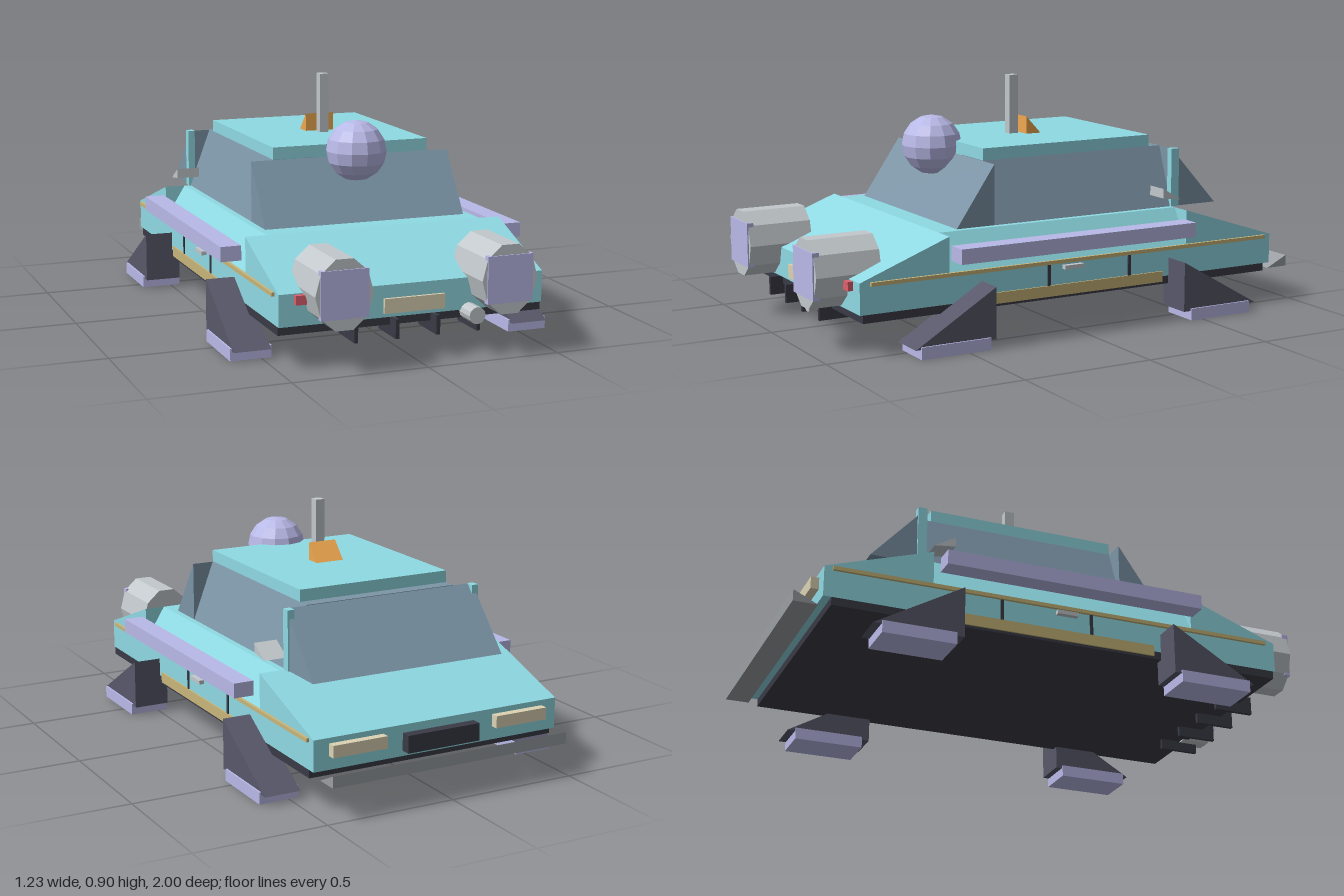
import * as THREE from 'three';

const COLORS = {
  teal: 0x8fdae4, glass: 0x7c95a6, lilac: 0xb9b9e8, leg: 0x58586a, dark: 0x3a3a46,
  tan: 0xc8b67a, cream: 0xdcd3b4, grey: 0xc2c8cc, red: 0xe0606c, orange: 0xf0a850, steel: 0x9a9fa3,
};
const materials = {};
for (const key in COLORS) {
  materials[key] = new THREE.MeshStandardMaterial({ color: COLORS[key], flatShading: true });
}

export function createModel() {
  const model = new THREE.Group();
  model.name = 'hoverCar';

  const add = (name, geometry, color) => {
    const mesh = new THREE.Mesh(geometry, materials[color]);
    mesh.name = name;
    model.add(mesh);
    return mesh;
  };

  // box given by its extents on each axis
  const box = (name, color, [x0, x1], [y0, y1], [z0, z1]) => {
    const g = new THREE.BoxGeometry(x1 - x0, y1 - y0, z1 - z0);
    g.translate((x0 + x1) / 2, (y0 + y1) / 2, (z0 + z1) / 2);
    return add(name, g, color);
  };

  const extrude = (points, depth) => new THREE.ExtrudeGeometry(
    new THREE.Shape(points.map(([a, b]) => new THREE.Vector2(a, b))),
    { depth, bevelEnabled: false });

  // side profile in (z, y), carried across x
  const sideProfile = (name, color, points, [x0, x1]) => {
    const g = extrude(points, x1 - x0);
    g.rotateY(-Math.PI / 2);
    g.translate(x1, 0, 0);
    return add(name, g, color);
  };

  // front profile in (x, y), carried along z
  const frontProfile = (name, color, points, [z0, z1]) => {
    const g = extrude(points, z1 - z0);
    g.translate(0, 0, z0);
    return add(name, g, color);
  };

  // extents mirrored to the side s
  const span = (s, a, b) => (s > 0 ? [a, b] : [-b, -a]);

  // Body: lower hull, sloped ends and tapered shoulders
  box('underbody', 'dark', [-0.5, 0.5], [0.125, 0.155], [-0.87, 0.86]);
  box('lowerBody', 'teal', [-0.5, 0.5], [0.155, 0.27], [-0.9, 0.87]);
  sideProfile('frontDeck', 'teal', [[0.52, 0.27], [0.87, 0.27], [0.52, 0.4]], [-0.5, 0.5]);
  sideProfile('rearDeck', 'teal', [[-0.9, 0.27], [-0.5, 0.27], [-0.5, 0.4]], [-0.5, 0.5]);
  frontProfile('shoulders', 'teal',
    [[-0.5, 0.27], [0.5, 0.27], [0.42, 0.4], [-0.42, 0.4]], [-0.5, 0.52]);

  // Cabin
  frontProfile('cabinGlass', 'glass',
    [[-0.395, 0.4], [0.395, 0.4], [0.31, 0.627], [-0.31, 0.627]], [-0.5, 0.28]);
  sideProfile('frontScreen', 'glass', [[0.28, 0.4], [0.435, 0.4], [0.28, 0.625]], [-0.395, 0.395]);
  sideProfile('rearScreen', 'glass', [[-0.705, 0.4], [-0.5, 0.4], [-0.5, 0.625]], [-0.395, 0.395]);
  box('roof', 'teal', [-0.31, 0.31], [0.625, 0.672], [-0.45, 0.28]);

  // Roof fittings
  box('antenna', 'grey', [-0.018, 0.018], [0.67, 0.9], [-0.035, 0.003]);
  sideProfile('roofBeacon', 'orange', [[-0.115, 0.67], [-0.05, 0.67], [-0.05, 0.74]], [-0.057, 0.057]);
  add('sensorBall', new THREE.SphereGeometry(0.114, 12, 8), 'lilac').position.set(0, 0.652, 0.333);

  for (const s of [1, -1]) {
    // Thrusters with square front plates
    const g = new THREE.CylinderGeometry(1, 1, 0.25, 10);
    g.rotateX(Math.PI / 2);
    g.rotateZ(Math.PI / 2);
    // vertices lie at the far left and right of the section
    const turn = Math.abs(g.attributes.position.getX(0)) > 0.99 ? 0 : Math.PI / 2;
    g.rotateZ(turn);
    g.scale(0.106, 0.13, 1);
    add('thruster', g, 'grey').position.set(s * 0.309, 0.283, 0.87);
    box('thrusterPlate', 'lilac', span(s, 0.222, 0.396), [0.2, 0.37], [0.975, 1]);

    // Lamps
    box('frontLamp', 'red', span(s, 0.405, 0.445), [0.233, 0.266], [0.86, 0.89]);
    box('rearLamp', 'cream', span(s, 0.225, 0.44), [0.205, 0.25], [-0.93, -0.89]);

    // Side pods, trim and doors
    box('sidePod', 'lilac', span(s, 0.515, 0.592), [0.315, 0.37], [-0.48, 0.52]);
    box('trimStrip', 'tan', span(s, 0.495, 0.511), [0.256, 0.27], [-0.87, 0.83]);
    box('sill', 'tan', span(s, 0.49, 0.506), [0.135, 0.176], [-0.39, 0.36]);
    for (const z of [0.11, -0.24]) {
      box('doorSeam', 'dark', span(s, 0.495, 0.504), [0.176, 0.256], [z - 0.006, z + 0.006]);
    }
    box('doorHandle', 'grey', span(s, 0.5, 0.52), [0.233, 0.248], [-0.03, 0.052]);

    // Cabin post and mirror
    box('rearPost', 'teal', span(s, 0.375, 0.402), [0.4, 0.625], [-0.53, -0.495]);
    sideProfile('mirror', 'grey', [[-0.49, 0.44], [-0.41, 0.45], [-0.41, 0.487]], span(s, 0.385, 0.475));

    // Wedge legs on flat feet
    sideProfile('frontLeg', 'leg', [[0.39, 0.035], [0.71, 0.035], [0.39, 0.225]], span(s, 0.47, 0.608));
    sideProfile('rearLeg', 'leg', [[-0.75, 0.035], [-0.42, 0.035], [-0.42, 0.225]], span(s, 0.47, 0.608));
    box('frontFoot', 'lilac', span(s, 0.463, 0.615), [0, 0.045], [0.415, 0.69]);
    box('rearFoot', 'lilac', span(s, 0.463, 0.615), [0, 0.045], [-0.72, -0.45]);
  }

  // Front details
  box('frontPlate', 'cream', [-0.115, 0.115], [0.17, 0.223], [0.865, 0.882]);
  for (const x of [-0.232, -0.078, 0.077, 0.231]) {
    box('frontFin', 'dark', [x - 0.007, x + 0.007], [0.085, 0.155], [0.755, 0.91]);
  }
  const pipe = new THREE.CylinderGeometry(0.031, 0.031, 0.11, 12);
  pipe.rotateX(Math.PI / 2);
  add('pipe', pipe, 'grey').position.set(0.211, 0.149, 0.89);

  // Rear details
  box('rearPlate', 'dark', [-0.147, 0.147], [0.175, 0.24], [-0.938, -0.89]);
  sideProfile('rearBumper', 'steel', [[-1, 0.127], [-0.91, 0.127], [-1, 0.17]], [-0.48, 0.48]);

  return model;
}
